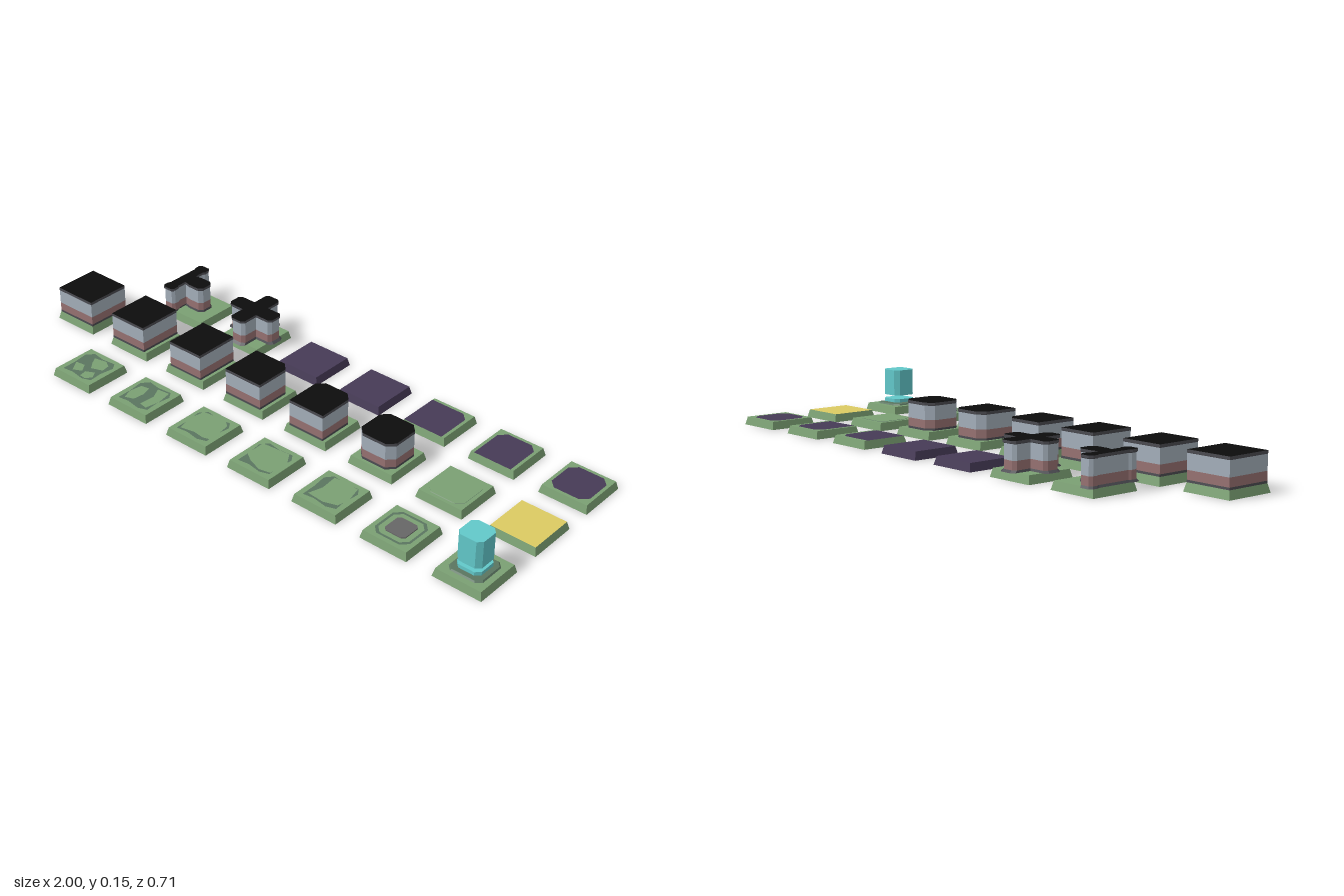
import * as THREE from 'three';

const mat = (color) => new THREE.MeshStandardMaterial({ color, flatShading: true, side: THREE.DoubleSide });
const M = {
  green: mat(0x7ba073), dark: mat(0x5a7560), wall: mat(0xa3aeb9), pink: mat(0x967171),
  trim: mat(0x4a4a50), black: mat(0x0c0c0c), purple: mat(0x463a56), yellow: mat(0xdccb62),
  cyan: mat(0x62c8ca), grey: mat(0x666666),
};
const TOP = 0.027, PITCH = 0.261, EDGE = 0.079;

function add(parent, name, geometry, material) {
  const mesh = new THREE.Mesh(geometry, material);
  mesh.name = name;
  parent.add(mesh);
  return mesh;
}

// Flat sheet from [x, z] points, with an optional hole
function sheet(points, y, hole) {
  const toShape = (p) => p.map(([x, z]) => new THREE.Vector2(x, -z));
  const shape = new THREE.Shape(toShape(points));
  if (hole) shape.holes.push(new THREE.Path(toShape(hole)));
  return new THREE.ShapeGeometry(shape).rotateX(-Math.PI / 2).translate(0, y, 0);
}

// Open band between two scaled copies of an outline (points run counter-clockwise from above)
function band(points, y0, y1, s0 = 1, s1 = 1) {
  const pos = [];
  points.forEach(([ax, az], i) => {
    const [bx, bz] = points[(i + 1) % points.length];
    const a = [ax * s0, y0, az * s0], b = [bx * s0, y0, bz * s0];
    const c = [bx * s1, y1, bz * s1], d = [ax * s1, y1, az * s1];
    pos.push(...a, ...b, ...c, ...a, ...c, ...d);
  });
  const g = new THREE.BufferGeometry();
  g.setAttribute('position', new THREE.Float32BufferAttribute(pos, 3));
  g.computeVertexNormals();
  return g;
}

// Square outline; the listed sides (l, r, b, f) are set in, and corners between two of them cut
function outline(sides = '', inset = 0.068, cut = 0.024) {
  const at = (s) => (sides.includes(s) ? inset : EDGE);
  const corners = [['l', 'f', -1, 1], ['r', 'f', 1, 1], ['r', 'b', 1, -1], ['l', 'b', -1, -1]];
  return corners.flatMap(([h, v, sx, sz]) => {
    const x = sx * at(h), z = sz * at(v);
    if (!sides.includes(h) || !sides.includes(v)) return [[x, z]];
    const alongX = [x - sx * cut, z], alongZ = [x, z - sz * cut];
    return sx * sz > 0 ? (sx > 0 ? [alongX, alongZ] : [alongZ, alongX]).map((p) => p)
      : (sx > 0 ? [alongZ, alongX] : [alongX, alongZ]);
  }).sort((p, q) => Math.atan2(q[1], q[0]) - Math.atan2(p[1], p[0]));
}
const square = outline();

// Tile skirt with a sheet on top, open underneath
function tile(root, name, col, row, skirt = M.green, hole) {
  const t = new THREE.Group();
  t.name = name;
  t.position.set((col - 3.5) * PITCH, 0, row * PITCH + 0.005);
  add(t, 'tileSkirt', band(square, 0, TOP, 0.0855 / EDGE, 1), skirt);
  add(t, 'tileTop', sheet(square, TOP, hole), skirt);
  root.add(t);
  return t;
}

// Banded wall with foot and dark roof, following any outline
function wall(t, pts, flare) {
  add(t, 'wallFoot', band(pts, TOP, 0.034, flare, 1 / flare), M.trim);
  const s = 1 / flare;
  add(t, 'lowerWall', band(pts, 0.034, 0.062, s, s), M.pink);
  add(t, 'upperWall', band(pts, 0.062, 0.112, s, s), M.wall);
  add(t, 'roofUnderside', band(pts, 0.11, 0.112, s, 1), M.trim);
  add(t, 'roofEdge', band(pts, 0.112, 0.12), M.trim);
  add(t, 'roof', sheet(pts, 0.12), M.black);
}

export function createModel() {
  const root = new THREE.Group();
  root.name = 'tileSet';

  // Middle row: solid blocks with more and more open sides
  ['', 'r', 'lr', 'rb', 'lrb', 'lrbf'].forEach((sides, i) => {
    const pts = outline(sides);
    const t = tile(root, 'wallBlock', i, 0);
    t.remove(t.getObjectByName('tileTop'));
    if (sides) {
      // Narrow ledge between the block and the skirt
      const hole = pts.map(([x, z]) => [x * 0.995, z * 0.995]);
      add(t, 'ledge', sheet(square, TOP, hole), M.green);
    }
    wall(t, pts, 1.005);
  });

  // Plain tile with a shallow octagonal step
  const plain = tile(root, 'grassTile', 6, 0);
  const octagon = outline('lrbf', 0.066, 0.022);
  add(plain, 'stepEdge', band(octagon, TOP, TOP + 0.0015, 1, 0.97), M.dark);
  add(plain, 'stepTop', sheet(octagon, TOP + 0.0015), M.green);

  // Yellow tile
  const sand = tile(root, 'sandTile', 7, 0);
  sand.getObjectByName('tileTop').material = M.yellow;

  // Back row: purple tiles
  ['', '', 'rb', 'lrb', 'lrbf'].forEach((sides, i) => {
    const t = tile(root, 'purpleTile', i + 3, -1, sides ? M.green : M.purple, sides ? outline(sides) : undefined);
    add(t, 'purpleTop', sheet(outline(sides), TOP), M.purple);
  });

  // Back row: cross-shaped wall, one arm turned four times
  const arm = [[0.03, 0.03], [0.085, 0.03], [0.095, 0.018], [0.095, -0.018], [0.085, -0.03]];
  const cross = [];
  for (let k = 0; k < 4; k++) {
    const c = Math.round(Math.cos(k * Math.PI / 2)), s = Math.round(Math.sin(k * Math.PI / 2));
    arm.forEach(([x, z]) => cross.push([x * c + z * s, -x * s + z * c]));
  }
  wall(tile(root, 'crossWall', 2, -1), cross, 1.05);

  // Back row: T-shaped wall, half outline mirrored front to back
  const half = [[-0.08, 0.06], [-0.085, 0.068], [-0.085, 0.085], [-0.077, 0.095], [-0.046, 0.095],
    [-0.038, 0.085], [-0.038, 0.068], [-0.043, 0.06], [-0.043, 0.026], [-0.02, 0.031], [0.022, 0.031], [0.035, 0.018]];
  const tee = [...half, ...half.map(([x, z]) => [x, -z]).reverse()];
  wall(tile(root, 'teeWall', 1, -1), tee, 1.03);

  // Front row: worn ground with lighter patches
  const soil = [[-0.06, 0.063], [-0.02, 0.058], [0.03, 0.066], [0.062, 0.055], [0.058, 0.01], [0.066, -0.04],
    [0.05, -0.063], [0, -0.058], [-0.045, -0.065], [-0.066, -0.04], [-0.06, 0.01]];
  const patches = [
    [[[-0.025, -0.045], [0.02, -0.055], [0.045, -0.04], [0.05, -0.01], [0.01, 0.005], [-0.01, -0.02]],
      [[0.01, 0.03], [0.04, 0.015], [0.055, 0.04], [0.04, 0.06], [0.015, 0.058]],
      [[-0.055, 0.01], [-0.02, 0.005], [0, 0.035], [-0.03, 0.05]]],
    [[[-0.05, -0.03], [-0.02, -0.035], [-0.01, 0], [-0.015, 0.04], [-0.045, 0.05], [-0.058, 0.015]],
      [[0.005, -0.05], [0.05, -0.055], [0.06, 0], [0.05, 0.05], [0.02, 0.045], [0.025, -0.01]]],
    [[[-0.055, -0.055], [0.03, -0.065], [0.055, -0.045], [0.068, 0.04], [0.04, 0.05], [0, 0.045], [-0.05, 0.055], [-0.065, 0]]],
    [[[-0.06, -0.05], [0.04, -0.06], [0.066, -0.02], [0.06, 0.05], [0.02, 0.058], [-0.03, 0.04], [-0.06, 0.02]]],
    [[[-0.04, -0.06], [0.05, -0.06], [0.064, 0], [0.055, 0.04], [0.01, 0.055], [-0.05, 0.05], [-0.035, 0]]],
  ];
  patches.forEach((list, i) => {
    const t = tile(root, 'wornTile', i + 1, 1);
    add(t, 'soil', sheet(soil, TOP + 0.0008), M.dark);
    list.forEach((p) => add(t, 'grassPatch', sheet(p, TOP + 0.0018), M.green));
  });

  // Front row: tile with a small grey plate
  const plateTile = tile(root, 'plateTile', 6, 1);
  add(plateTile, 'soilRing', sheet(outline('lrbf', 0.064, 0.022), TOP + 0.0008, outline('lrbf', 0.056, 0.02)), M.dark);
  const plate = outline('lrbf', 0.038, 0.01);
  add(plateTile, 'plateEdge', band(plate, TOP, TOP + 0.003), M.grey);
  add(plateTile, 'plate', sheet(plate, TOP + 0.003), M.grey);

  // Front row: pedestal with a floating cyan column
  const beacon = tile(root, 'beaconTile', 7, 1);
  const pedestal = outline('lrbf', 0.056, 0.016);
  add(beacon, 'pedestalEdge', band(pedestal, TOP, 0.032, 1.06, 1), M.dark);
  add(beacon, 'pedestal', sheet(pedestal, 0.032), M.dark);
  const column = outline('lrbf', 0.0425, 0.015);
  add(beacon, 'lightRing', band(column, 0.035, 0.047), M.cyan);
  add(beacon, 'lightRingTop', sheet(column, 0.047), M.cyan);
  add(beacon, 'lightColumn', band(column, 0.06, 0.152), M.cyan);
  add(beacon, 'lightColumnTop', sheet(column, 0.152), M.cyan);
  return root;
}
